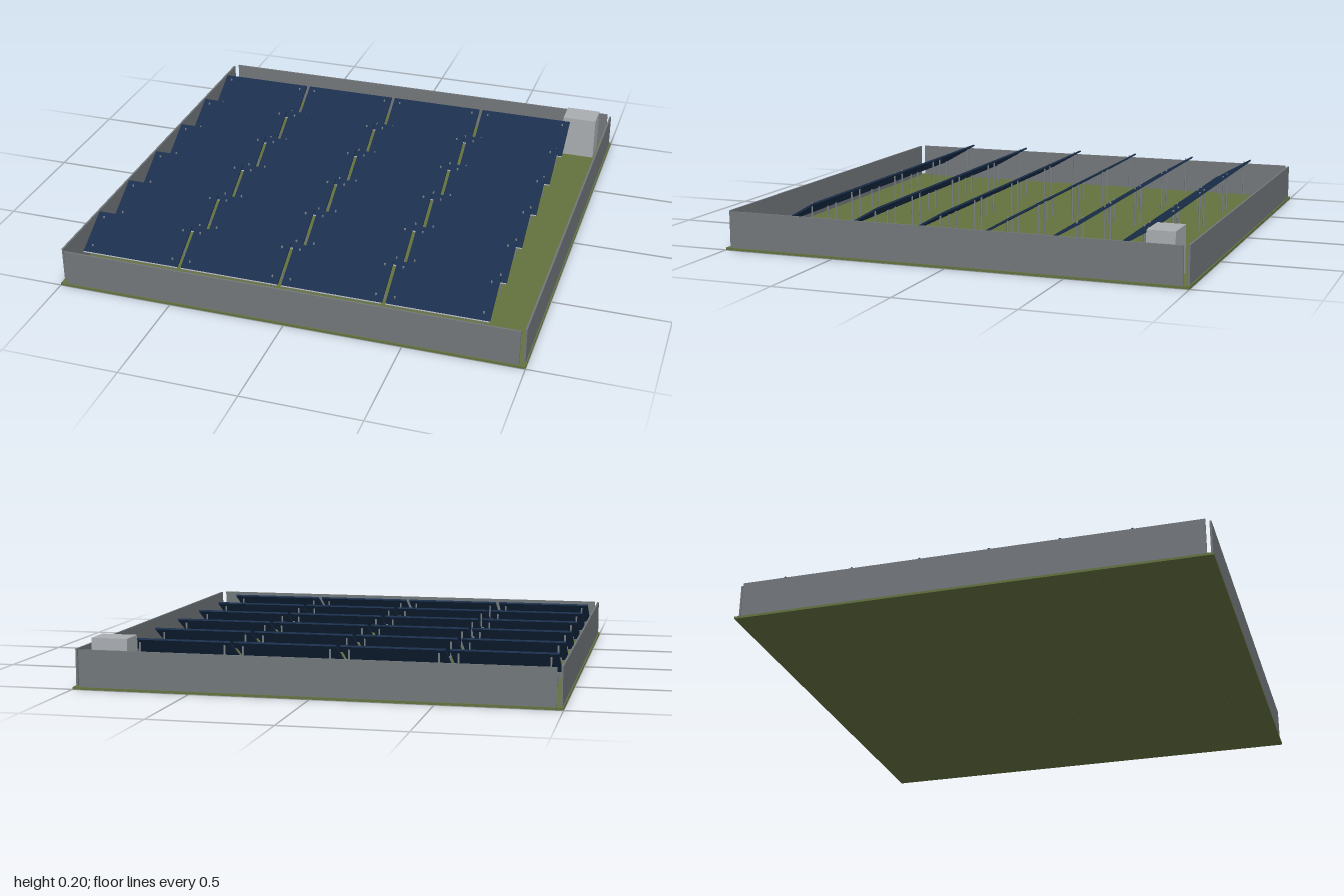
import * as THREE from 'three';

const mat = (name, color) => Object.assign(new THREE.MeshStandardMaterial({ color }), { name });

export function createModel() {
  const grass = mat('grass green', 0x63723f);
  const navy = mat('panel navy', 0x1b2f4c);
  const silver = mat('rail silver', 0xa4a8ac);
  const steel = mat('post steel', 0x7c8288);
  const fenceGrey = mat('fence grey', 0x72777b);
  const cabinGrey = mat('cabin grey', 0xa9adb1);

  const root = new THREE.Group();
  root.name = 'solarFarm';
  const box = (name, parent, material, w, h, d, x, y, z) => {
    const m = new THREE.Mesh(new THREE.BoxGeometry(w, h, d), material);
    m.name = name;
    m.position.set(x, y, z);
    parent.add(m);
    return m;
  };

  // Ground slab
  box('ground', root, grass, 2, 0.01, 2, 0, 0.005, 0);

  // Four fence walls, open at the corners
  const fenceH = 0.155, fenceY = 0.01 + fenceH / 2;
  for (const s of [-1, 1]) {
    box('fenceWall', root, fenceGrey, 1.946, fenceH, 0.008, 0, fenceY, s * 0.99);
    box('fenceSide', root, fenceGrey, 0.008, fenceH, 1.946, s * 0.99, fenceY, 0);
  }

  // Equipment cabin in the back corner
  box('cabin', root, cabinGrey, 0.155, 0.195, 0.116, 0.864, 0.1075, -0.87);

  // Tilted panel tables, each on four posts
  const tilt = Math.PI / 6, midY = 0.137;
  const panelW = 0.433, panelL = 0.2, panelT = 0.008;
  const makeTable = () => {
    const table = new THREE.Group();
    table.name = 'panelTable';
    const deck = new THREE.Group();
    deck.name = 'panelDeck';
    deck.position.y = midY;
    deck.rotation.x = tilt;
    table.add(deck);
    box('panel', deck, navy, panelW, panelT, panelL, 0, 0, 0);
    box('lowerRail', deck, silver, panelW, 0.005, 0.006, 0, 0, panelL / 2 + 0.002);

    // Posts end just above the panel surface
    for (const x of [-0.185, 0.185]) for (const z of [-0.061, 0.061]) {
      const h = midY - z * Math.tan(tilt) + 0.011;
      const post = new THREE.Mesh(new THREE.CylinderGeometry(0.004, 0.004, h, 6), steel);
      post.name = z < 0 ? 'rearPost' : 'frontPost';
      post.position.set(x, h / 2, z);
      table.add(post);
    }
    return table;
  };

  // Six rows of four tables
  for (let r = 0; r < 6; r++) {
    const row = new THREE.Group();
    row.name = 'panelRow';
    row.position.z = -0.718 + r * 0.296;
    for (let c = 0; c < 4; c++) {
      const table = makeTable();
      table.position.x = -0.744 + c * 0.449;
      row.add(table);
    }
    root.add(row);
  }
  return root;
}
